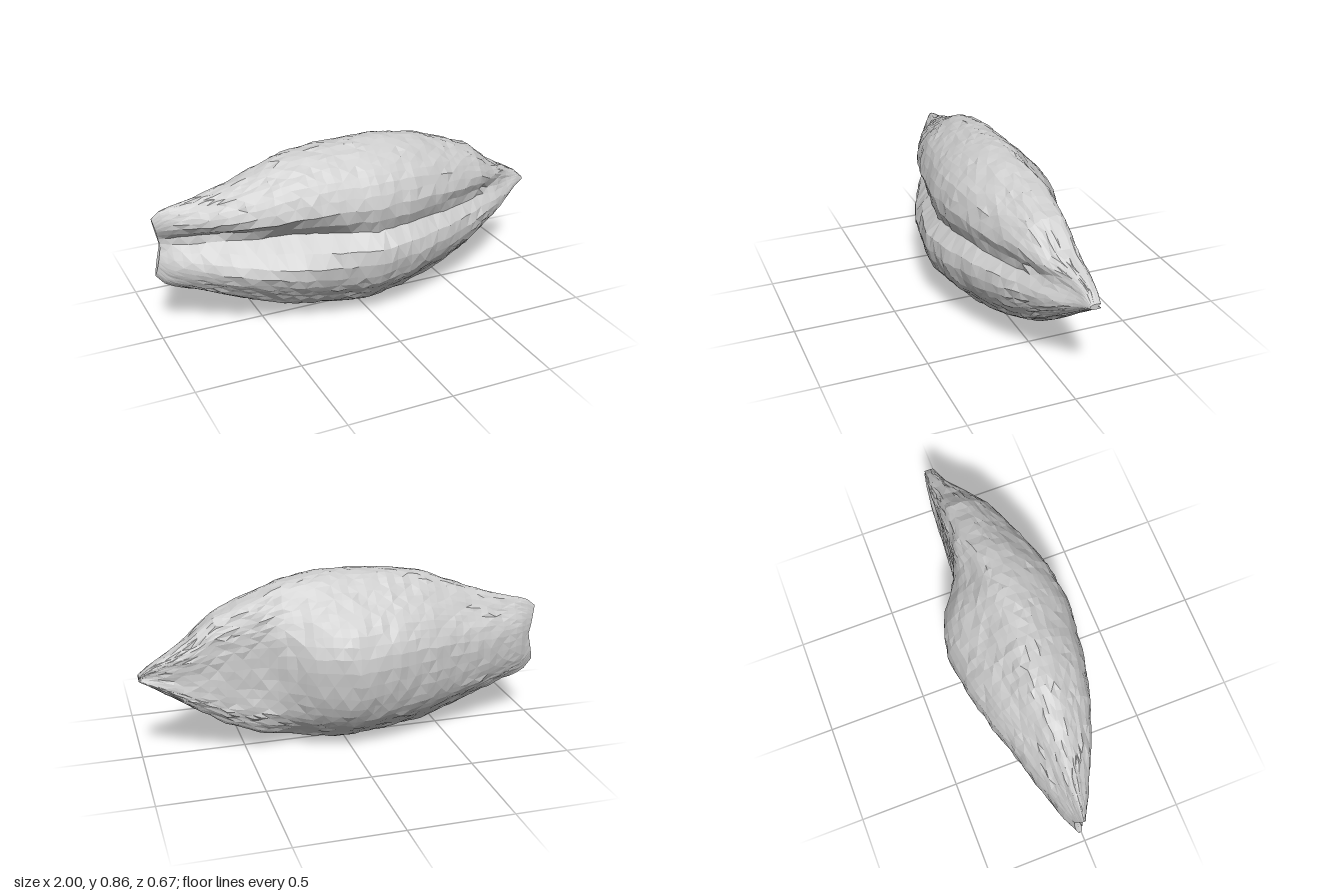
import * as THREE from 'three';

// Piecewise linear lookup in a list of [x, value]
function sample(table, x) {
  if (x <= table[0][0]) return table[0][1];
  for (let i = 1; i < table.length; i++) {
    const [x0, a] = table[i - 1], [x1, b] = table[i];
    if (x <= x1) return a + (b - a) * (x - x0) / (x1 - x0);
  }
  return table[table.length - 1][1];
}

// Outlines along the length: top, bottom, front, back and the depth of the side edges
const TOP = [[-1, .60], [-.95, .64], [-.8, .67], [-.6, .74], [-.38, .825], [-.2, .85], [.1, .86], [.3, .83],
  [.5, .76], [.65, .70], [.75, .61], [.85, .55], [.95, .50], [1, .455]];
const BOTTOM = [[-1, .31], [-.95, .25], [-.8, .20], [-.6, .12], [-.4, .05], [-.2, .02], [0, .0], [.2, .03],
  [.4, .08], [.6, .16], [.75, .26], [.85, .33], [.95, .40], [1, .43]];
const FRONT = [[-1, -.02], [-.9, .04], [-.7, .15], [-.5, .23], [-.3, .285], [0, .33], [.2, .31], [.4, .25],
  [.6, .17], [.8, .07], [1, -.05]];
const BACK = [[-1, -.07], [-.9, -.11], [-.7, -.17], [-.5, -.225], [-.4, -.26], [-.2, -.31], [0, -.335], [.1, -.32],
  [.2, -.28], [.3, -.21], [.4, -.17], [.6, -.155], [.8, -.14], [.9, -.12], [1, -.09]];
const EDGE = [[-1, -.045], [-.6, -.02], [0, 0], [.6, -.02], [1, -.07]];
const GROOVE = [[-1, .03], [-.9, .07], [-.7, .13], [-.4, .14], [-.2, .10], [0, .06], [.6, .055], [.9, .03], [1, 0]];

// Cross-section: [depth, height], depth -1 (back) to 1 (front), height 0 to 1
const SECTION = [[.12, 1], [-.18, .98], [-.45, .885], [-.76, .765], [-.94, .65], [-1, .55], [-.95, .37], [-.79, .21],
  [-.4, .075], [-.1, 0], [.3, .04], [.46, .07], [.62, .135], [.84, .22], [.96, .31], [1, .40],
  [.98, .50], [.94, .60], [.88, .71], [.79, .81], [.5, .93]];

const RINGS = 50, SIDES = 56;

function shellGeometry() {
  const curve = new THREE.CatmullRomCurve3(SECTION.map(([w, v]) => new THREE.Vector3(w, v, 0)), true);
  const ring = curve.getSpacedPoints(SIDES).slice(0, SIDES);
  let seed = 7;
  const jitter = (s) => {
    seed = (seed * 16807) % 2147483647;
    return (seed / 2147483647 - .5) * s;
  };
  const pos = [], index = [];

  for (let i = 0; i <= RINGS; i++) {
    const x = -1 + 2 * i / RINGS;
    const top = sample(TOP, x), bottom = sample(BOTTOM, x), edge = sample(EDGE, x);
    const rough = .009 * Math.min(1, (1 - Math.abs(x)) * 5);
    // The back hump stops at a curved seam and leaves a flat, slightly dished plate
    const plate = THREE.MathUtils.smoothstep(x, .22, .48);
    for (const { x: w, y: v } of ring) {
      const off = 2 * v - 1;
      const y = bottom + (top - bottom) * v;
      let z;
      if (w >= 0) {
        z = edge + w * (sample(FRONT, x) - edge);
        // Slit between the lips, steep above and sloping below
        const d = y - .48, width = d > 0 ? .05 : .05 + .05 * THREE.MathUtils.smoothstep(-x, 0, .6);
        z -= sample(GROOVE, x) * Math.exp(-((d / width) ** 2));
      } else {
        const depth = Math.abs(sample(BACK, x - .13 * off * off * plate) - edge);
        z = edge - depth * Math.pow(-w, 1 - .55 * plate);
        z += .025 * plate * Math.min(1, (1 - x) * 4) * Math.max(0, 1 - off * off * 2);
      }
      // Notched blunt end
      const notch = .035 * (1 - Math.abs(off)) * THREE.MathUtils.smoothstep(-x, .9, 1);
      pos.push(x + notch + jitter(rough), y + jitter(rough), z + jitter(rough));
    }
  }

  for (let i = 0; i < RINGS; i++) {
    for (let j = 0; j < SIDES; j++) {
      const k = (j + 1) % SIDES;
      const a = i * SIDES + j, b = i * SIDES + k, c = a + SIDES, d = b + SIDES;
      if ((i + j) % 2) index.push(a, c, b, c, d, b);
      else index.push(a, c, d, a, d, b);
    }
  }

  // Close both ends
  const left = pos.length / 3, right = left + 1, last = RINGS * SIDES;
  pos.push(-.95, .46, -.05, 1, .443, -.07);
  for (let j = 0; j < SIDES; j++) {
    const k = (j + 1) % SIDES;
    index.push(left, j, k, right, last + k, last + j);
  }

  const geometry = new THREE.BufferGeometry();
  geometry.setAttribute('position', new THREE.Float32BufferAttribute(pos, 3));
  geometry.setIndex(index);
  geometry.computeVertexNormals();
  return geometry;
}

export function createModel() {
  const group = new THREE.Group();
  group.name = 'seedShell';
  const material = new THREE.MeshStandardMaterial({ color: 0xcccccc, flatShading: true });
  const shell = new THREE.Mesh(shellGeometry(), material);
  shell.name = 'shell';
  group.add(shell);
  return group;
}
